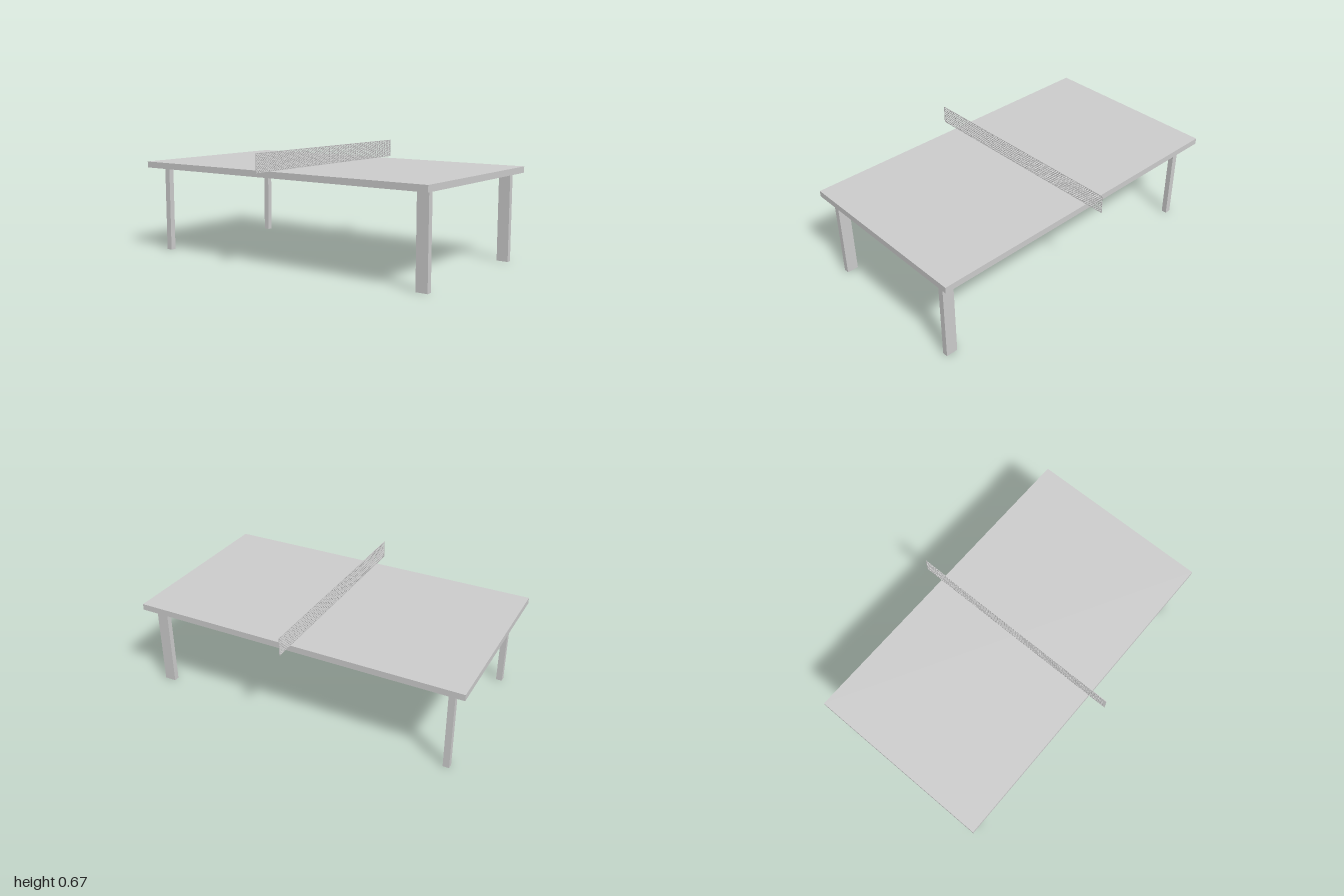
import * as THREE from 'three';
import { mergeGeometries } from 'three/addons/utils/BufferGeometryUtils.js';

const material = new THREE.MeshStandardMaterial({ color: 0xcccccc, flatShading: true });

function box(name, w, h, d, x, y, z) {
  const mesh = new THREE.Mesh(new THREE.BoxGeometry(w, h, d), material);
  mesh.name = name;
  mesh.position.set(x, y, z);
  return mesh;
}

// Thin square strand between two points in the z = 0 plane
function strand(x0, y0, x1, y1, t = 0.003) {
  const g = new THREE.BoxGeometry(Math.hypot(x1 - x0, y1 - y0), t, t);
  g.rotateZ(Math.atan2(y1 - y0, x1 - x0));
  g.translate((x0 + x1) / 2, (y0 + y1) / 2, 0);
  return g;
}

// Diamond mesh of crossing diagonals, clipped to the net's rectangle
function createNet(halfWidth, bottom, top) {
  const height = top - bottom;
  const pitch = height / 7;
  const parts = [];
  for (let x = -halfWidth - height + pitch / 2; x < halfWidth; x += pitch) {
    const x0 = Math.max(x, -halfWidth);
    const x1 = Math.min(x + height, halfWidth);
    const y0 = bottom + x0 - x;
    const y1 = bottom + x1 - x;
    parts.push(strand(x0, y0, x1, y1), strand(-x0, y0, -x1, y1));
  }
  // Border cords
  for (const y of [bottom, top]) parts.push(strand(-halfWidth, y, halfWidth, y));
  for (const x of [-halfWidth, halfWidth]) parts.push(strand(x, bottom, x, top));
  const net = new THREE.Mesh(mergeGeometries(parts), material);
  net.name = 'net';
  return net;
}

export function createModel() {
  const table = new THREE.Group();
  table.name = 'tableTennisTable';

  table.add(box('tableTop', 1.114, 0.037, 2, 0, 0.5385, 0));

  // Front legs are deeper than the back legs
  for (const [side, x] of [['Left', 0.465], ['Right', -0.465]]) {
    table.add(box('front' + side + 'Leg', 0.033, 0.52, 0.07, x, 0.26, 0.928));
    table.add(box('back' + side + 'Leg', 0.033, 0.52, 0.037, x, 0.26, -0.907));
  }

  table.add(createNet(0.668, 0.559, 0.665));
  return table;
}
